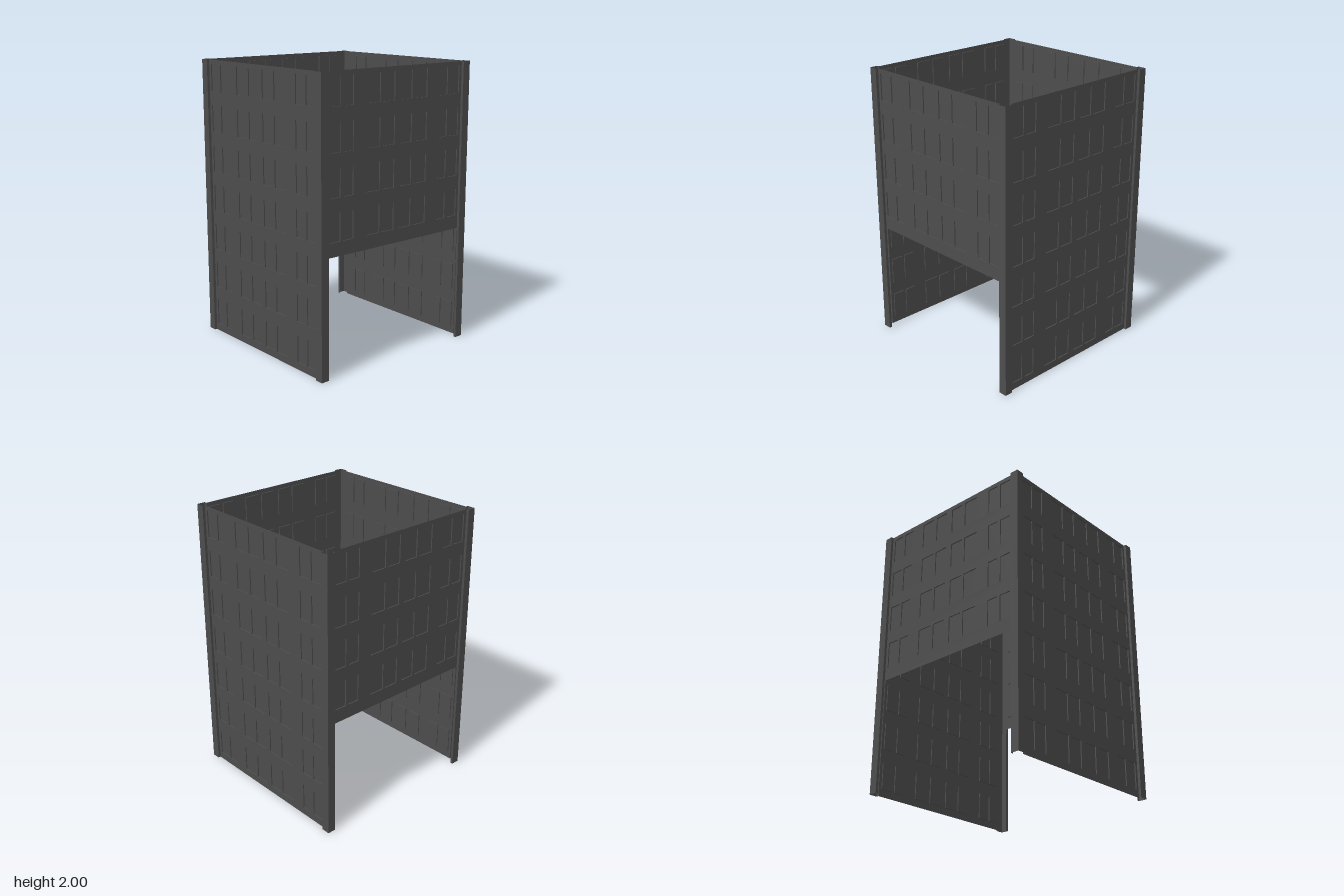
import * as THREE from 'three';
import { mergeGeometries } from 'three/addons/utils/BufferGeometryUtils.js';

const TOP = 2, HALF = 0.6, FACE = 0.641, OUT = 0.66, RECESS = 0.008;
const ROW = 0.288, WIN_H = 0.19, MARGIN = 0.03;

// Window columns [from, to] on one half, mirrored to the other
const half = [[0.025, 0.13], [0.153, 0.27], [0.38, 0.465], [0.488, 0.578]];
const columns = [...half, ...half.map(([a, b]) => [-b, -a])];

function rect(Type, x0, y0, x1, y1) {
  const r = new Type();
  r.moveTo(x0, y0);
  r.lineTo(x1, y0);
  r.lineTo(x1, y1);
  r.lineTo(x0, y1);
  r.closePath();
  return r;
}

// Thin wall sheet with rows of shallow recessed windows, facing +z
function createWall(name, bottom, rows, material) {
  const wall = new THREE.Group();
  wall.name = name;
  const shape = rect(THREE.Shape, -HALF, bottom, HALF, TOP);
  const recesses = [];
  for (let i = 0; i < rows; i++) {
    const y1 = TOP - MARGIN - i * ROW, y0 = y1 - WIN_H;
    for (const [x0, x1] of columns) {
      shape.holes.push(rect(THREE.Path, x0, y0, x1, y1));
      // Open tray: a box without its front face
      const tray = new THREE.BoxGeometry(x1 - x0, WIN_H, RECESS);
      const index = Array.from(tray.index.array);
      index.splice(24, 6);
      tray.setIndex(index);
      tray.clearGroups();
      tray.translate((x0 + x1) / 2, (y0 + y1) / 2, -RECESS / 2);
      recesses.push(tray);
    }
  }
  const sheet = new THREE.Mesh(new THREE.ShapeGeometry(shape), material);
  sheet.name = 'wallSheet';
  const windows = new THREE.Mesh(mergeGeometries(recesses), material);
  windows.name = 'recessedWindows';
  wall.add(sheet, windows);
  sheet.position.z = windows.position.z = FACE;
  return wall;
}

// Folded corner post: an open profile of vertical strips
function createPost(material) {
  const profile = [[HALF, FACE], [HALF, OUT], [OUT, OUT], [OUT, HALF], [FACE, HALF]];
  const strips = [];
  for (let i = 0; i < profile.length - 1; i++) {
    const [x0, z0] = profile[i], [x1, z1] = profile[i + 1];
    const strip = new THREE.PlaneGeometry(Math.hypot(x1 - x0, z1 - z0), TOP);
    strip.rotateY(-Math.atan2(z1 - z0, x1 - x0));
    strip.translate((x0 + x1) / 2, TOP / 2, (z0 + z1) / 2);
    strips.push(strip);
  }
  return new THREE.Mesh(mergeGeometries(strips), material);
}

export function createModel() {
  const model = new THREE.Group();
  model.name = 'buildingShell';
  const darkGrey = new THREE.MeshStandardMaterial({ color: 0x4d4d4d });
  darkGrey.name = 'darkGrey';
  darkGrey.side = THREE.DoubleSide;

  // Short front and back walls, full-height side walls, a post at each corner
  ['front', 'left', 'back', 'right'].forEach((side, i) => {
    const short = i % 2 === 0;
    const wall = createWall(side + 'Wall', short ? 0.82 : 0, short ? 4 : 7, darkGrey);
    const post = createPost(darkGrey);
    post.name = 'cornerPost' + (i + 1);
    wall.rotation.y = post.rotation.y = i * Math.PI / 2;
    model.add(wall, post);
  });
  return model;
}
